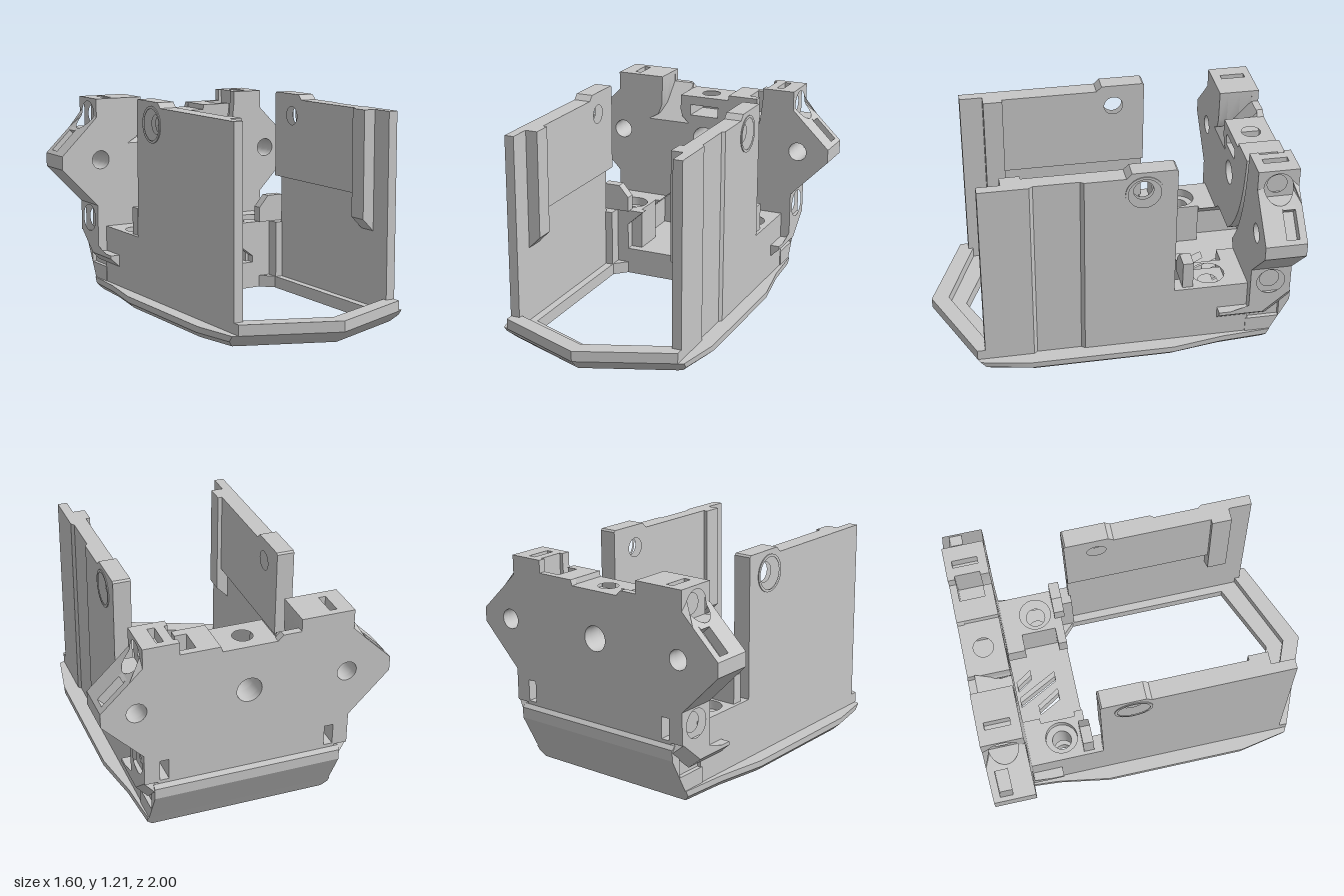
import * as THREE from 'three';
import { toCreasedNormals } from 'three/addons/utils/BufferGeometryUtils.js';

const gray = new THREE.MeshStandardMaterial({ color: 0xc6c6c6 });
gray.name = 'gray plastic';

const circle = (cx, cy, r, n = 28) => Array.from({ length: n }, (_, i) => {
  const a = (i / n) * Math.PI * 2;
  return [cx + r * Math.cos(a), cy + r * Math.sin(a)];
});
const rect = (x0, y0, x1, y1) => [[x0, y0], [x1, y0], [x1, y1], [x0, y1]];
const flipX = (pts) => pts.map(([x, y]) => [-x, y]);

// Extrudes an outline with holes along one axis, from a to b.
// Outline points are (x, y) for 'z', (z, y) for 'x' and (x, z) for 'y'.
function prism(axis, pts, a, b, holes = [], steps = 1) {
  const v = (p) => p.map(([u, w]) => new THREE.Vector2(axis === 'x' ? -u : u, axis === 'y' ? -w : w));
  const shape = new THREE.Shape(v(pts));
  shape.holes = holes.map((h) => new THREE.Path(v(h)));
  const g = new THREE.ExtrudeGeometry(shape, { depth: Math.abs(b - a), steps, bevelEnabled: false });
  g.translate(0, 0, Math.min(a, b));
  if (axis === 'x') g.rotateY(Math.PI / 2);
  if (axis === 'y') g.rotateX(-Math.PI / 2);
  return g;
}

// Moves every vertex of a geometry by a rule
function reshape(g, rule) {
  const p = g.attributes.position;
  for (let i = 0; i < p.count; i++) p.setXYZ(i, ...rule(p.getX(i), p.getY(i), p.getZ(i)));
  g.computeVertexNormals();
  return g;
}

export function createModel() {
  const model = new THREE.Group();
  const add = (name, g) => {
    const m = new THREE.Mesh(toCreasedNormals(g, 0.4), gray);
    m.name = name;
    model.add(m);
  };

  // Base ring with chamfered underside, screw holes and slanted vents
  const half = [[0.52, 0.785], [0.55, 0.77], [0.6, 0.5], [0.6, -0.32], [0.55, -0.62], [0.53, -0.895]];
  const outline = [[0, 1], ...half, ...flipX(half).reverse()];
  const opening = [[0, 0.8], [0.42, 0.62], [0.42, -0.33], [0.35, -0.4], [-0.35, -0.4], [-0.42, -0.33], [-0.42, 0.62]];
  const floorHoles = [
    circle(0.39, -0.55, 0.055), circle(-0.39, -0.55, 0.055),
    [[-0.15, -0.64], [-0.09, -0.64], [-0.01, -0.51], [-0.08, -0.51]],
    [[-0.08, -0.74], [-0.02, -0.74], [0.1, -0.51], [0.04, -0.51]],
    [[0.02, -0.74], [0.08, -0.74], [0.14, -0.65], [0.08, -0.65]],
  ];
  add('baseRing', reshape(prism('y', outline, 0, 0.07, [opening, ...floorHoles], 2), (x, y, z) => {
    if (Math.abs(x) < 0.46 && z < 0.82) return [x, y, z];
    const t = 1 - y / 0.07;
    return [y < 0.01 ? x * 0.94 : x, y, z * (1 - (z > 0 ? 0.075 : 0.04) * t)];
  }));
  add('frontBar', prism('y', [[0, 1], [0.52, 0.785], [0.52, 0.69], [0, 0.9], [-0.52, 0.69], [-0.52, 0.785]], 0.07, 0.13));
  add('rearFloor', prism('y', rect(-0.52, -0.89, 0.52, -0.4), 0.07, 0.16, floorHoles));

  for (const s of [1, -1]) {
    const m = (pts) => (s > 0 ? pts : flipX(pts));
    const side = s > 0 ? 'left' : 'right';

    // Side walls, stepped inside, with a countersunk pivot hole
    const groove = s > 0 ? [[0.52, 0.465], [0.505, 0.445], [0.505, 0.195], [0.52, 0.175]] : [];
    const outer = [[0.52, 0.74], ...groove, [0.52, 0.14]];
    add(side + 'WallFrontLower', prism('y', m([[0.465, 0.74], ...outer, [0.465, 0.14]]), 0.07, 0.7));
    add(side + 'WallFrontUpper', prism('y', m([[0.465, 0.74], ...outer, [0.42, 0.14], [0.42, 0.61], [0.465, 0.61]]), 0.7, 1.18));
    const wall = (y) => [[0.14, y], [0.14, 1.18], [-0.05, 1.18], [-0.08, 1.21], [-0.32, 1.21], [-0.33, 1.2], [-0.33, y]];
    for (const [x0, x1, y, r] of [[0.49, 0.52, 0.07, 0.09], [0.465, 0.49, 0.07, 0.055], [0.42, 0.465, 0.7, 0.055]]) {
      add(side + 'WallRear', prism('x', wall(y), s * x0, s * x1, [circle(-0.15, 1.08, r)]));
    }
    add(side + 'PivotRim', prism('x', circle(-0.15, 1.08, 0.105), s * 0.515, s * 0.525, [circle(-0.15, 1.08, 0.09)]));
    add(side + 'WallRib', prism('z', m([[0.465, 0.5], [0.395, 0.57], [0.395, 1.18], [0.465, 1.18]]), 0.5, 0.61));

    // Low wall and post joining the side wall to the rear block
    add(side + 'LowWall', prism('x', rect(-0.43, 0.07, -0.32, 0.41), s * 0.42, s * 0.52));
    add(side + 'Post', prism('z', m([[0.34, 0.41], [0.34, 0.5], [0.4, 0.57], [0.5, 0.57], [0.5, 0.41]]), -0.44, -0.38));

    // Rear side flange with chamfered underside
    const profile = [[-0.58, 0.26], [-0.58, 0.19], [-0.86, 0.19], [-1, 0.31], [-0.97, 0.36], [-0.75, 0.36], [-0.75, 0.26]];
    add(side + 'Flange', reshape(prism('x', profile, s * 0.52, s * 0.575), (x, y, z) => {
      const underside = Math.abs(x) > 0.55 && (y < 0.2 || z < -0.99);
      return underside ? [x, y + 0.05, z < -0.8 ? z + 0.03 : z] : [x, y, z];
    }));

    // Pads with sideways screw holes; the upper rim follows the slope of the ear
    for (const [y0, y1, cy, reach] of [[0.36, 0.54, 0.45, 0.575], [1.0, 1.18, 1.08, 0.645]]) {
      const bend = y0 + 0.07;
      const pad = [[-0.98, y0], [-0.75, y0], [-0.75, bend], [-0.75, y1], [-0.98, y1], [-0.98, bend]];
      add(side + 'ScrewPad', prism('x', pad, s * 0.5, s * 0.545, [circle(-0.865, cy, 0.055)]));
      const rim = prism('x', pad, s * 0.545, s * reach, [circle(-0.865, cy, 0.08)]);
      add(side + 'ScrewPadRim', reshape(rim, (x, y, z) => [
        s * Math.min(Math.abs(x), Math.max(0.575, reach - (y - y0))), y, z]));
    }
  }

  // Mounting blocks with counterbored floor screws
  const leftCut = [[-0.35, 0.16], [-0.35, 0.32], [-0.25, 0.41]];
  const rightCut = [[0.18, 0.41], [0.18, 0.29], [0.3, 0.2], [0.3, 0.16]];
  for (const [z0, z1] of [[-0.45, -0.4], [-0.76, -0.65]]) {
    add('mountBlockEnd', prism('z', [[-0.52, 0.1], [-0.35, 0.1], ...leftCut.slice(1), [-0.52, 0.41]], z0, z1));
    add('mountBlockEnd', prism('z', [[0.52, 0.1], [0.52, 0.41], ...rightCut.slice(0, 3), [0.3, 0.1]], z0, z1));
  }
  for (const s of [1, -1]) {
    for (const [y0, y1, r] of [[0.16, 0.36, 0.055], [0.36, 0.41, 0.092]]) {
      add('mountBlock', prism('y', rect(s * 0.28, -0.65, s * 0.52, -0.45), y0, y1, [circle(s * 0.39, -0.55, r)]));
    }
  }

  // Rear plate in layers: back skin, core with pockets, front face with a curved channel
  const earTop = [[0.5, 0.54], [0.575, 0.54], [0.8, 0.77], [0.8, 0.85], [0.645, 1.0], [0.5, 1.0], [0.5, 1.18]];
  const earSlot = [[0.78, 0.87], [0.74, 0.83], [0.625, 0.945], [0.665, 0.985]];
  const ear = [[0.5, 0.16], ...earTop];
  const slottedEar = [...ear.slice(0, 5), ...earSlot, ...ear.slice(5)];
  const mirrored = (pts) => flipX(pts).reverse();
  const bore = circle(0, 0.82, 0.07);
  const earHoleR = circle(-0.55, 0.815, 0.055);
  const earHoleL = circle(0.61, 0.815, 0.055);
  const ports = [rect(0.44, 0.37, 0.49, 0.49), rect(-0.49, 0.37, -0.44, 0.49)];
  const skinEar = [[0.5, 0.3], ...earTop];
  add('plateBack', prism('z', [...skinEar, [0.38, 1.18], [0.38, 1.11], [0.16, 1.11], [0.15, 1.08], [-0.15, 1.08],
    [-0.18, 1.11], [-0.28, 1.11], [-0.28, 1.18], ...mirrored(skinEar)], -0.98, -0.94, [bore, earHoleL, earHoleR, ...ports]));

  const bossAndPocket = [[0.16, 1.11], [0.15, 1.025], [0.09, 1.025], [0.09, 0.96], [-0.09, 0.96], [-0.09, 1.025], [-0.155, 1.025],
    [-0.16, 1.0], [-0.145, 0.945], [-0.1, 0.905], [-0.37, 0.905], [-0.31, 0.94], [-0.285, 1.0], [-0.28, 1.18]];
  const cavityTopLeft = [...leftCut, [-0.19, 0.46]];
  for (const [z0, z1, e] of [[-0.94, -0.87, slottedEar], [-0.87, -0.8, ear]]) {
    add('plateCore', prism('z', [...e, [0.49, 1.18], [0.49, 1.12], [0.45, 1.12], [0.45, 1.18], [0.4, 1.18], [0.4, 0.98], [0.28, 0.98],
      [0.28, 1.11], ...bossAndPocket, [-0.45, 1.18], [-0.45, 1.12], [-0.49, 1.12], [-0.49, 1.18], ...mirrored(e),
      ...cavityTopLeft, [0.15, 0.46], ...rightCut], z0, z1, [bore, earHoleL, earHoleR, ...ports]));
  }

  const bend = (...ends) => new THREE.QuadraticBezierCurve(...ends.map((e) => new THREE.Vector2(...e)))
    .getPoints(18).map((v) => [v.x, v.y]);
  const innerBend = bend([0.04, 0.46], [0.31, 0.68], [0.345, 1.11]);
  const outerBend = bend([0.38, 1.11], [0.345, 0.68], [0.15, 0.46]);
  add('plateFrontRight', prism('z', [...innerBend, ...bossAndPocket, ...mirrored(ear), ...cavityTopLeft], -0.8, -0.75, [bore, earHoleR]));
  add('plateFrontLeft', prism('z', [...ear, [0.38, 1.18], ...outerBend, ...rightCut], -0.8, -0.75, [earHoleL]));

  // Sloped pocket floor and bored cap of the centre boss
  add('pocketSlope', prism('x', [[-0.75, 0.905], [-0.94, 0.905], [-0.94, 1.11]], -0.3, -0.155));
  add('pocketSlopeFoot', prism('x', [[-0.75, 0.905], [-0.94, 0.905], [-0.94, 0.96], [-0.801, 0.96]], -0.37, -0.1));
  add('centreBossCap', prism('y', rect(-0.155, -0.94, 0.155, -0.75), 1.025, 1.08, [circle(0, -0.865, 0.055)]));

  // Sloped rear shroud
  add('rearShroud', prism('x', [[-0.75, 0.07], [-0.895, 0.07], [-1, 0.27], [-1, 0.33], [-0.98, 0.35], [-0.94, 0.35],
    [-0.94, 0.16], [-0.75, 0.16]], -0.525, 0.525));
  return model;
}
